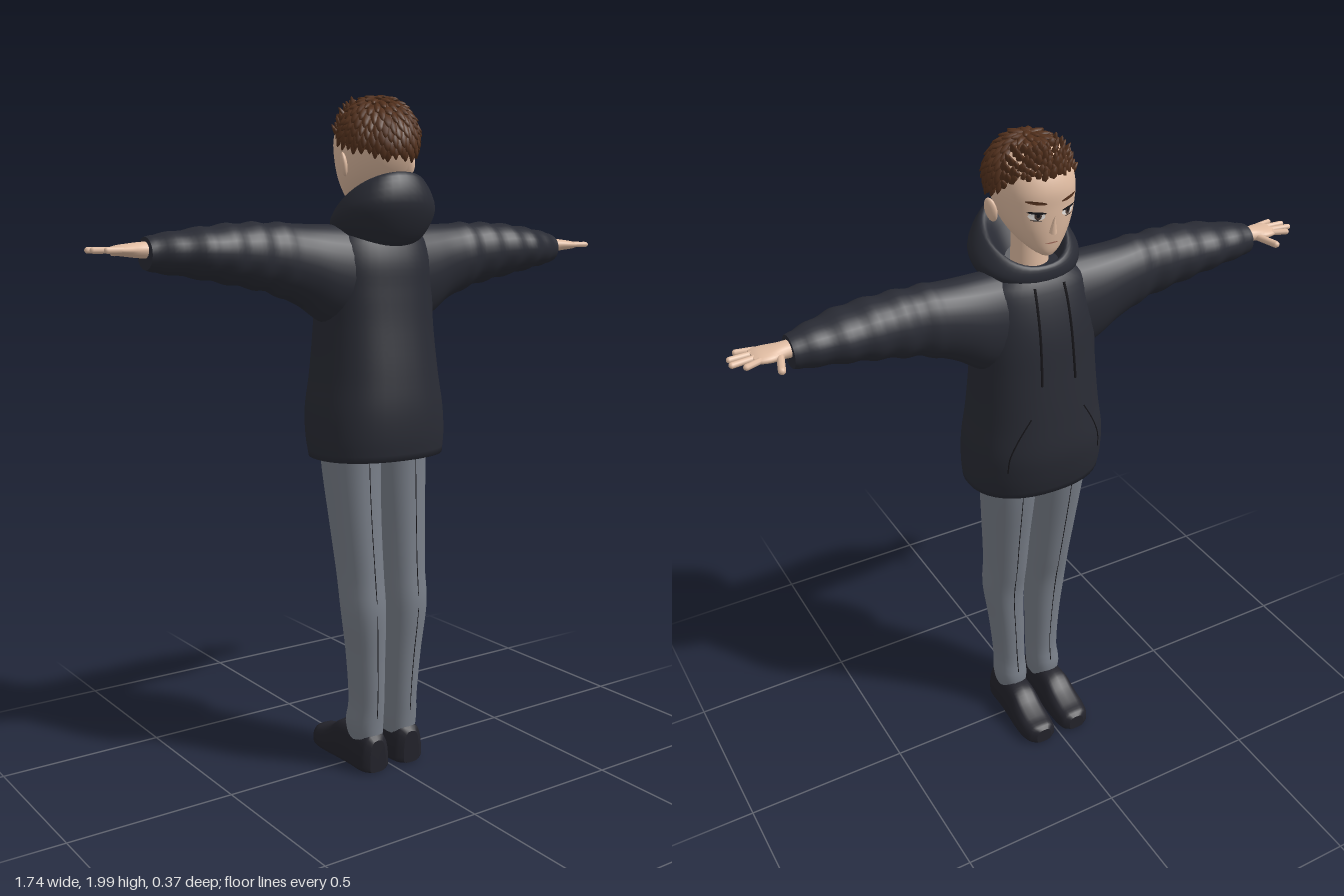
import * as THREE from 'three';
import { mergeGeometries } from 'three/addons/utils/BufferGeometryUtils.js';

const mat = (name, color, side = THREE.FrontSide) => {
  const m = new THREE.MeshStandardMaterial({ color, side });
  m.name = name;
  return m;
};
const V = (x, y, z) => new THREE.Vector3(x, y, z);
const spow = (v, p) => Math.sign(v) * Math.abs(v) ** p;

// Smoothly interpolated profile row at key t (first column ascending)
function rowAt(rows, t) {
  const n = rows.length;
  let i = 0;
  while (i < n - 2 && t > rows[i + 1][0]) i++;
  const a = rows[i], b = rows[i + 1], p = rows[Math.max(i - 1, 0)], q = rows[Math.min(i + 2, n - 1)];
  const h = b[0] - a[0], u = (t - a[0]) / h, u2 = u * u, u3 = u2 * u;
  return a.map((v, k) => {
    const ma = (b[k] - p[k]) / (b[0] - p[0]) * h, mb = (q[k] - v) / (q[0] - a[0]) * h;
    return k === 0 ? t : (2 * u3 - 3 * u2 + 1) * v + (u3 - 2 * u2 + u) * ma + (3 * u2 - 2 * u3) * b[k] + (u3 - u2) * mb;
  });
}
const sample = (rows, n) => Array.from({ length: n + 1 }, (_, i) =>
  rowAt(rows, THREE.MathUtils.lerp(rows[0][0], rows[rows.length - 1][0], i / n)));

// Closed oval ring; place(c, s) maps cosine and sine to a point
const ring = (n, place) => Array.from({ length: n }, (_, i) => {
  const a = i / n * Math.PI * 2;
  return place(Math.cos(a), Math.sin(a));
});

// Skin over a list of rings, with sharp end caps; flipped outward by signed volume
function loft(rings) {
  const n = rings[0].length, pos = [], idx = [];
  const add = v => pos.push(v.x, v.y, v.z) / 3 - 1;
  rings.forEach(r => r.forEach(add));
  for (let j = 0; j < rings.length - 1; j++) for (let i = 0; i < n; i++) {
    const a = j * n + i, b = j * n + (i + 1) % n;
    idx.push(a, b, a + n, b, b + n, a + n);
  }
  [rings[0], rings[rings.length - 1]].forEach((r, end) => {
    const start = pos.length / 3;
    r.forEach(add);
    const c = add(r.reduce((s, v) => s.add(v), V(0, 0, 0)).divideScalar(n));
    for (let i = 0; i < n; i++) {
      const a = start + i, b = start + (i + 1) % n;
      end ? idx.push(a, b, c) : idx.push(b, a, c);
    }
  });
  const at = i => V(pos[i * 3], pos[i * 3 + 1], pos[i * 3 + 2]);
  let vol = 0;
  for (let i = 0; i < idx.length; i += 3) vol += at(idx[i]).dot(at(idx[i + 1]).cross(at(idx[i + 2])));
  if (vol < 0) idx.reverse();
  const g = new THREE.BufferGeometry();
  g.setAttribute('position', new THREE.Float32BufferAttribute(pos, 3));
  g.setIndex(idx);
  g.computeVertexNormals();
  return g;
}
const tube = (pts, r) => new THREE.TubeGeometry(new THREE.CatmullRomCurve3(pts), 16, r, 6);

// Profiles: y, half width, front z, back z
const TORSO = [[0.96, 0.207, -0.14, 0.176], [1.02, 0.212, -0.155, 0.182], [1.1, 0.209, -0.165, 0.181],
  [1.2, 0.194, -0.157, 0.17], [1.35, 0.182, -0.14, 0.15], [1.45, 0.182, -0.128, 0.14],
  [1.53, 0.178, -0.11, 0.132], [1.6, 0.15, -0.085, 0.11], [1.635, 0.09, -0.06, 0.09]];
const HEAD = [[1.688, 0.018, -0.09, -0.05], [1.7, 0.037, -0.096, -0.02], [1.73, 0.066, -0.102, 0.04],
  [1.77, 0.09, -0.107, 0.085], [1.82, 0.105, -0.11, 0.115], [1.87, 0.109, -0.11, 0.128],
  [1.92, 0.099, -0.092, 0.122], [1.96, 0.07, -0.06, 0.095], [1.98, 0.03, -0.01, 0.05]];
const P = 0.88;
const slice = ([y, w, zf, zb]) => ring(40, (c, s) =>
  V(w * spow(s, P), y, (zf + zb) / 2 + (zb - zf) / 2 * spow(c, P)));
// Front surface depth of a profile at x, y
const frontZ = (rows, x, y) => {
  const [, w, zf, zb] = rowAt(rows, y);
  const s = Math.min(Math.abs(x) / w, 1) ** (1 / P);
  return (zf + zb) / 2 - (zb - zf) / 2 * Math.sqrt(1 - s * s) ** P;
};

export function createModel() {
  const hoodieMat = mat('charcoal cloth', 0x292b34), pantsMat = mat('grey cloth', 0x787e88);
  const shoeMat = mat('shoe black', 0x23232b), skinMat = mat('skin', 0xe0bca2);
  const hairMat = mat('brown hair', 0x52301c, THREE.DoubleSide), inkMat = mat('ink', 0x17161a);
  const whiteMat = mat('eye white', 0xf0ece8), irisMat = mat('iris', 0x4a3a34), lipMat = mat('lip', 0xa8705f);
  const model = new THREE.Group();
  const put = (name, geo, m, parent = model) => {
    const mesh = new THREE.Mesh(geo, m);
    mesh.name = name;
    parent.add(mesh);
    return mesh;
  };

  // Hoodie body with a turned-in hem
  put('hoodieBody', loft([slice([1.0, 0.17, -0.11, 0.145]), slice([0.965, 0.195, -0.13, 0.165]),
    ...sample(TORSO, 36).map(slice)]), hoodieMat);

  // Lowered hood: half width, front z, back z, front y, back y
  const HOOD = [[0, 0.09, -0.055, 0.1, 1.59, 1.55], [1, 0.135, -0.075, 0.15, 1.6, 1.605],
    [2, 0.158, -0.08, 0.183, 1.62, 1.69], [3, 0.13, -0.075, 0.165, 1.645, 1.765],
    [4, 0.105, -0.06, 0.135, 1.645, 1.765], [5, 0.07, -0.035, 0.075, 1.59, 1.66]];
  put('hood', loft(sample(HOOD, 20).map(([, w, zf, zb, yf, yb]) => ring(40, (c, s) =>
    V(w * spow(s, 0.9), (yf + yb) / 2 + (yb - yf) / 2 * c, (zf + zb) / 2 + (zb - zf) / 2 * c)))), hoodieMat);

  // Sleeve profile: x, bottom y, top y, front z, back z
  const SLEEVE = [[0.1, 1.32, 1.63, -0.09, 0.11], [0.18, 1.355, 1.632, -0.092, 0.1], [0.25, 1.402, 1.633, -0.088, 0.09],
    [0.35, 1.442, 1.637, -0.08, 0.084], [0.46, 1.466, 1.635, -0.083, 0.088], [0.56, 1.485, 1.625, -0.084, 0.088],
    [0.65, 1.5, 1.612, -0.074, 0.055], [0.7, 1.508, 1.603, -0.066, 0.033], [0.712, 1.512, 1.599, -0.064, 0.03]];
  // Leg profile: y, inner x, outer x, front z, back z
  const LEG = [[0.09, 0.016, 0.105, -0.012, 0.11], [0.14, 0.012, 0.113, -0.018, 0.112], [0.2, 0.013, 0.109, -0.006, 0.116],
    [0.35, 0.014, 0.12, -0.006, 0.125], [0.5, 0.014, 0.138, -0.014, 0.135], [0.6, 0.014, 0.139, -0.034, 0.126],
    [0.75, 0.012, 0.149, -0.06, 0.115], [0.9, 0.006, 0.16, -0.086, 0.107], [1.01, 0.001, 0.167, -0.1, 0.105]];
  // Shoe profile: z, inner x, outer x, top y
  const SHOE = [[-0.186, 0.036, 0.088, 0.05], [-0.175, 0.018, 0.107, 0.06], [-0.14, 0.01, 0.119, 0.068],
    [-0.09, 0.009, 0.12, 0.09], [-0.045, 0.01, 0.117, 0.12], [0.02, 0.011, 0.113, 0.125],
    [0.09, 0.012, 0.113, 0.118], [0.115, 0.022, 0.104, 0.112], [0.12, 0.034, 0.092, 0.1]];

  for (const [side, k] of [['left', 1], ['right', -1]]) {
    const arm = new THREE.Group(), leg = new THREE.Group();
    arm.name = side + 'Arm';
    leg.name = side + 'Leg';
    model.add(arm, leg);

    // Sleeve with soft folds towards the cuff
    put('sleeve', loft(sample(SLEEVE, 48).map(([x, yb, yt, zf, zb]) => {
      const fold = x > 0.3 && x < 0.69 ? 1 + 0.035 * Math.sin((x - 0.3) * 75) : 1;
      return ring(28, (c, s) => V(k * x, (yb + yt) / 2 + (yt - yb) / 2 * s * fold,
        (zf + zb) / 2 + (zb - zf) / 2 * c * fold));
    })), hoodieMat, arm);

    // Hand: wrist and palm in one, then fingers
    const PALM = [[0.68, 0.024, 0.026, -0.018], [0.73, 0.021, 0.029, -0.018], [0.765, 0.017, 0.041, -0.018],
      [0.795, 0.013, 0.042, -0.014], [0.808, 0.008, 0.036, -0.012]];
    put('palm', loft(sample(PALM, 14).map(([x, h, d, z]) => ring(18, (c, s) =>
      V(k * x, 1.565 + h * s, z + d * c)))), skinMat, arm);
    const finger = (name, a, b, r) => {
      const dir = b.clone().sub(a), g = new THREE.CapsuleGeometry(r, dir.length(), 4, 8);
      g.scale(1, 1, 1);
      const f = put(name, g, skinMat, arm);
      f.position.copy(a).add(b).multiplyScalar(0.5);
      f.quaternion.setFromUnitVectors(V(0, 1, 0), dir.normalize());
    };
    [[-0.043, -0.06, 0.835], [-0.022, -0.033, 0.863], [0, -0.004, 0.86], [0.018, 0.026, 0.835]].forEach(([z0, z1, x1], i) =>
      finger('finger' + (i + 1), V(k * 0.79, 1.566, z0), V(k * x1, 1.566, z1), 0.0085));
    finger('thumb', V(k * 0.742, 1.562, -0.04), V(k * 0.762, 1.558, -0.105), 0.0105);

    // Trouser leg with back and front seams
    put('trouserLeg', loft(sample(LEG, 40).map(([y, xi, xo, zf, zb]) => ring(28, (c, s) =>
      V(k * ((xi + xo) / 2 + (xo - xi) / 2 * spow(s, 0.9)), y, (zf + zb) / 2 + (zb - zf) / 2 * spow(c, 0.9))))), pantsMat, leg);
    const seam = e => tube(sample(LEG, 12).slice(1).map(([y, xi, xo, zf, zb]) =>
      V(k * (xi + xo) / 2, y, e > 0 ? zb - 0.0005 : zf + 0.0005)), 0.0015);
    put('seams', mergeGeometries([seam(1), seam(-1)]), inkMat, leg);

    // Shoe, flat underneath
    put('shoe', loft(sample(SHOE, 30).map(([z, xi, xo, top]) => ring(24, (c, s) =>
      V(k * ((xi + xo) / 2 + (xo - xi) / 2 * spow(c, 0.6)), s < 0 ? 0.02 + 0.02 * spow(s, 0.5) : 0.02 + (top - 0.02) * spow(s, 0.85), z)))), shoeMat, leg);

    // Drawstring and pocket edge
    const onChest = (x, y, off) => V(k * x, y, frontZ(TORSO, x, y) - off);
    put(side + 'Drawstring', tube([1.6, 1.56, 1.48, 1.4, 1.33].map((y, i) => onChest(0.045 + i * 0.002, y, 0.008)), 0.004), inkMat);
    put(side + 'PocketEdge', tube([[0.085, 1.23], [0.12, 1.17], [0.145, 1.11], [0.15, 1.06]].map(([x, y]) => onChest(x, y, 0)), 0.002), inkMat);
  }

  // Head, neck, nose and ears
  const head = new THREE.Group();
  head.name = 'head';
  model.add(head);
  put('skull', loft(sample(HEAD, 40).map(slice)), skinMat, head);
  put('neck', new THREE.CylinderGeometry(0.048, 0.055, 0.19, 20), skinMat, head).position.set(0, 1.67, 0.02);
  const nose = put('nose', new THREE.ConeGeometry(0.012, 0.05, 8).scale(1, 1, 1.3), skinMat, head);
  nose.position.set(0, 1.783, -0.11);
  nose.rotation.x = -0.3;
  for (const k of [1, -1]) {
    const ear = put(k > 0 ? 'leftEar' : 'rightEar', new THREE.SphereGeometry(1, 14, 10).scale(0.01, 0.034, 0.02), skinMat, head);
    ear.position.set(k * 0.114, 1.798, 0.022);
    ear.rotation.set(0.15, k * 0.45, -k * 0.2);
  }

  // Thin face details laid on the skull surface
  const patch = (name, x, y, rx, ry, tilt, off, m) => {
    const g = new THREE.CircleGeometry(1, 24).scale(rx, ry, 1).rotateZ(tilt).translate(x, y, 0);
    const p = g.attributes.position;
    for (let i = 0; i < p.count; i++) p.setZ(i, frontZ(HEAD, p.getX(i), p.getY(i)) - off);
    g.setIndex([...g.index.array].reverse());
    g.computeVertexNormals();
    put(name, g, m, head);
  };
  for (const k of [1, -1]) {
    patch('eyeWhite', k * 0.046, 1.809, 0.021, 0.0105, k * 0.08, 0.0015, whiteMat);
    patch('iris', k * 0.044, 1.81, 0.009, 0.0105, 0, 0.003, irisMat);
    patch('pupil', k * 0.044, 1.811, 0.004, 0.005, 0, 0.004, inkMat);
    patch('upperLash', k * 0.047, 1.819, 0.024, 0.0035, k * 0.1, 0.005, inkMat);
    patch('lowerLash', k * 0.048, 1.798, 0.015, 0.0012, k * 0.08, 0.004, inkMat);
    patch('eyebrow', k * 0.048, 1.846, 0.027, 0.0045, k * 0.16, 0.004, hairMat);
  }
  patch('mouth', 0, 1.728, 0.02, 0.002, 0, 0.002, lipMat);

  // Hair cap ending at a hairline that drops towards the nape; c is 1 at the back
  const hairline = c => c > 0 ? 1.72 + 0.3 * c : 1.72 + 0.42 * c;
  const onHair = (c, s, th, r = 1) => V(0.113 * r * Math.sin(th) * s, 1.872 + 0.114 * r * Math.cos(th),
    0.026 + (c > 0 ? 0.12 : 0.128) * r * Math.sin(th) * c);
  put('hairCap', loft(Array.from({ length: 15 }, (_, j) => ring(32, (c, s) =>
    onHair(c, s, hairline(c) * (j + 0.1) / 14.1)))), hairMat, head);

  // Overlapping hair locks, swept up in front and down behind
  let seed = 7;
  const rnd = () => (seed = (seed * 16807) % 2147483647) / 2147483647;
  const lock = new THREE.SphereGeometry(1, 7, 6);
  for (let i = 0, p = lock.attributes.position; i < p.count; i++) {
    const t = 0.85 - 0.4 * p.getY(i);
    p.setXYZ(i, p.getX(i) * t, p.getY(i), p.getZ(i) * t);
  }
  const locks = [];
  for (let i = 0; i < 230; i++) {
    const a = i * 2.39996, c = Math.cos(a), s = Math.sin(a);
    const th = hairline(c) * Math.sqrt((i + 0.5) / 230);
    const p = onHair(c, s, th, 0.98), out = p.clone().sub(V(0, 1.872, 0.026)).normalize();
    const down = onHair(c, s, th + 0.1).sub(onHair(c, s, th)).normalize();
    const front = c < -0.35 && th > 0.6;
    const dir = front ? V(s * 0.3 + rnd() * 0.6 - 0.3, 0.9, -0.35) : down.addScaledVector(out, 0.3 + rnd() * 0.25);
    dir.normalize();
    const x = dir.clone().cross(out).normalize(), z = x.clone().cross(dir);
    const m = new THREE.Matrix4().makeBasis(x, dir, z).setPosition(p);
    const w = 0.013 + rnd() * 0.005;
    locks.push(lock.clone().scale(w, 0.024 + rnd() * 0.008, 0.011).applyMatrix4(m));
  }
  put('hairLocks', mergeGeometries(locks), hairMat, head);
  return model;
}
